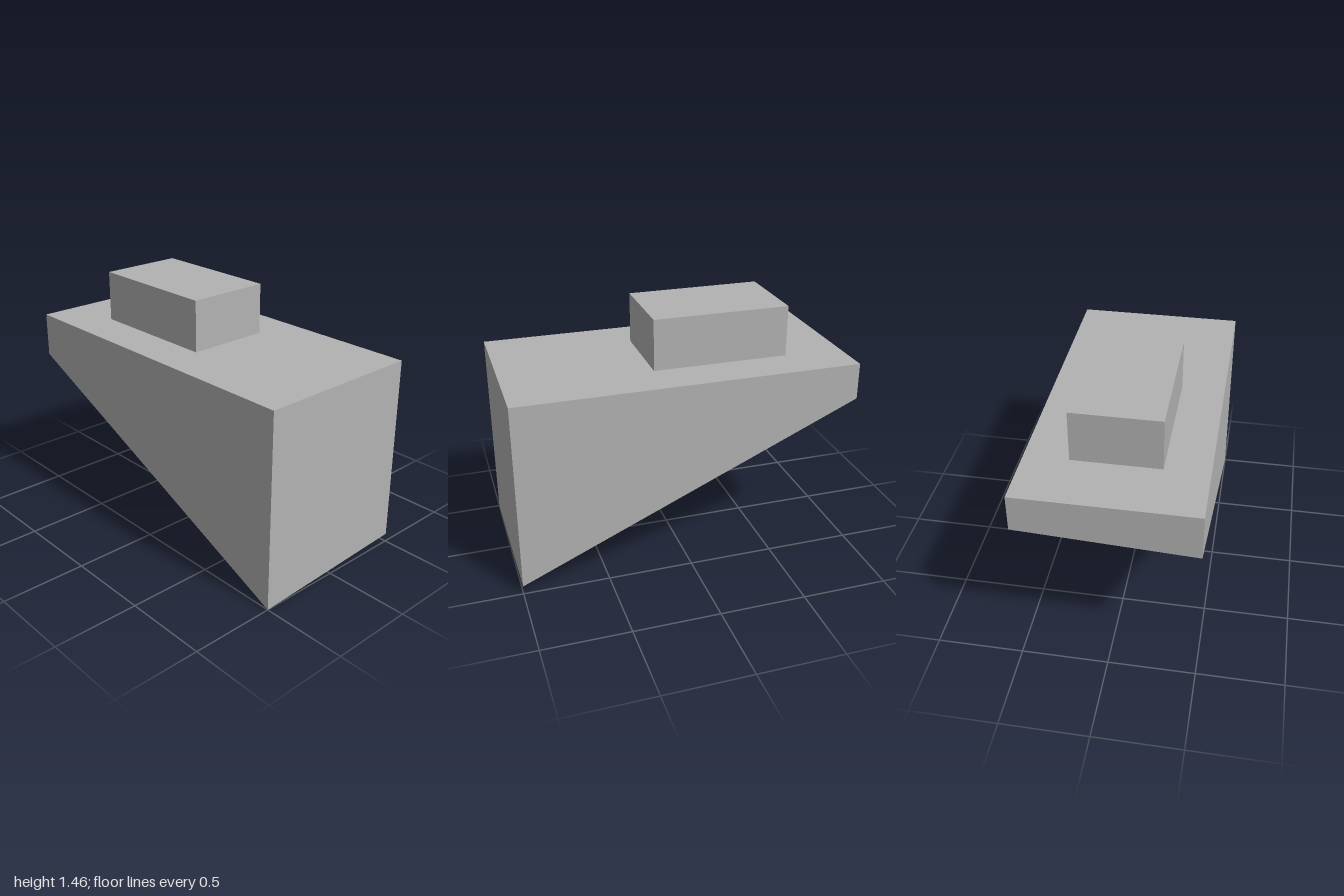
import * as THREE from 'three';

export function createModel() {
  const model = new THREE.Group();
  model.name = 'wedgeWithBlock';
  const grey = new THREE.MeshStandardMaterial({ color: 0xb2b2b2 });
  grey.name = 'grey';

  const top = 1.155;

  // Wedge body: a box whose underside slopes down to the right and slightly to the front
  const body = new THREE.BoxGeometry(2, top, 1);
  body.translate(0, top / 2, 0);
  const p = body.attributes.position;
  for (let i = 0; i < p.count; i++) {
    if (p.getY(i) < top / 2) {
      p.setY(i, 0.445 * (1 - p.getX(i)) + 0.05 * (0.5 - p.getZ(i)));
    }
  }
  body.computeVertexNormals();
  const wedge = new THREE.Mesh(body, grey);
  wedge.name = 'wedgeBody';
  model.add(wedge);

  // Block standing on the flat top
  const block = new THREE.Mesh(new THREE.BoxGeometry(0.8, 0.3, 0.5), grey);
  block.name = 'topBlock';
  block.position.set(-0.25, top + 0.15, 0);
  model.add(block);

  return model;
}
